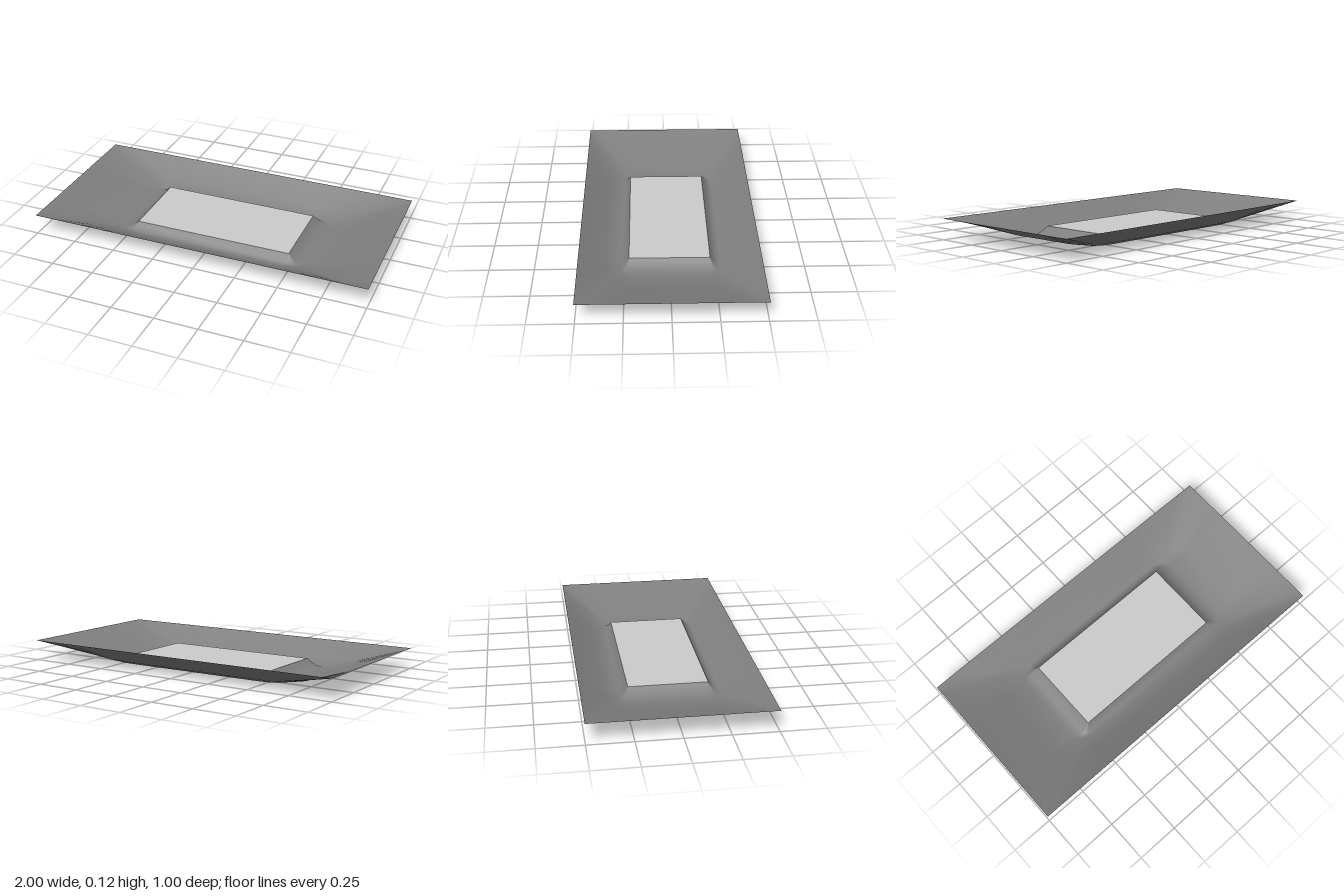
import * as THREE from 'three';

const CORNER_STEPS = 8;

// Rectangular ring with half sizes hx, hz, height y and corner radii rx, rz.
// A bulge of 1 gives elliptical corners, SQRT2 fills them out to square ones.
function ring([hx, hz, y, rx, rz, bulge = 1]) {
  const points = [];
  const reach = (v) => THREE.MathUtils.clamp(v * bulge, -1, 1);
  for (let k = 0; k < 4; k++) {
    const sx = k === 0 || k === 3 ? 1 : -1;
    const sz = k < 2 ? 1 : -1;
    for (let i = 0; i <= CORNER_STEPS; i++) {
      const t = (k + i / CORNER_STEPS) * Math.PI / 2;
      points.push([
        sx * (hx - rx) + rx * reach(Math.cos(t)), y,
        sz * (hz - rz) + rz * reach(Math.sin(t)),
      ]);
    }
  }
  return points;
}

// Smooth skin joining rings from the inside out
function loft(profile) {
  const rings = profile.map(ring);
  const n = rings[0].length;
  const index = [];
  for (let r = 0; r < rings.length - 1; r++) {
    for (let i = 0; i < n; i++) {
      const j = (i + 1) % n;
      const a = r * n + i, b = r * n + j, c = a + n, d = b + n;
      index.push(a, b, c, b, d, c);
    }
  }
  const geometry = new THREE.BufferGeometry();
  geometry.setAttribute('position', new THREE.Float32BufferAttribute(rings.flat(2), 3));
  geometry.setIndex(index);
  geometry.computeVertexNormals();
  return geometry;
}

export function createModel() {
  const group = new THREE.Group();
  group.name = 'tray';
  const dark = new THREE.MeshStandardMaterial({ color: 0x808080, side: THREE.DoubleSide });
  const light = new THREE.MeshStandardMaterial({ color: 0xcccccc, side: THREE.DoubleSide });

  // Platform wall, narrow floor channel and flared sides up to the square rim
  const dish = new THREE.Mesh(loft([
    [0.47, 0.225, 0.048, 0.002, 0.002],
    [0.49, 0.238, 0.03, 0.015, 0.01],
    [0.525, 0.258, 0.007, 0.04, 0.02],
    [0.58, 0.285, 0, 0.13, 0.07],
    [0.72, 0.36, 0.026, 0.28, 0.15],
    [1, 0.5, 0.12, 0.55, 0.27, Math.SQRT2],
  ]), dark);
  dish.name = 'flaredDish';

  // Flat raised centre
  const platform = new THREE.Mesh(new THREE.PlaneGeometry(0.94, 0.45).rotateX(-Math.PI / 2), light);
  platform.position.y = 0.048;
  platform.name = 'raisedPlatform';

  group.add(dish, platform);
  return group;
}
